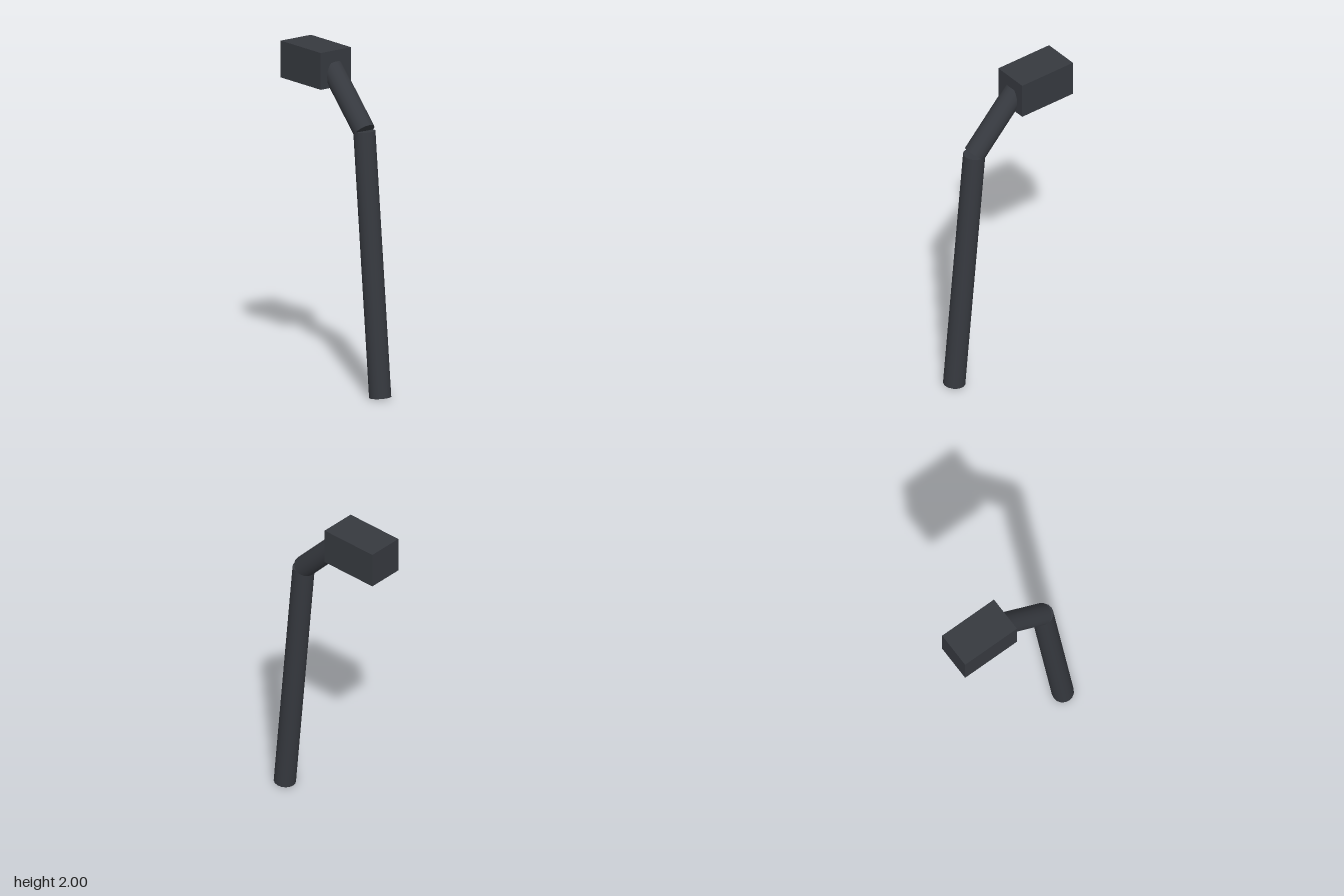
import * as THREE from 'three';

const material = new THREE.MeshStandardMaterial({ color: 0x36393f });
const RADIUS = 0.065;

// Closed round tube between two points in the x = 0 plane
function pole(name, from, to) {
  const direction = to.clone().sub(from);
  const mesh = new THREE.Mesh(
    new THREE.CylinderGeometry(RADIUS, RADIUS, direction.length(), 16), material);
  mesh.name = name;
  mesh.position.copy(from).add(to).multiplyScalar(0.5);
  mesh.quaternion.setFromUnitVectors(new THREE.Vector3(0, 1, 0), direction.normalize());
  return mesh;
}

export function createModel() {
  const model = new THREE.Group();
  model.name = 'lampPost';

  const foot = new THREE.Vector3(0, 0.006, 0.361);
  const joint = new THREE.Vector3(0, 1.569, 0.213);
  const armEnd = new THREE.Vector3(0, 1.89, -0.092);

  // Leaning post and the bent arm above it
  model.add(pole('post', foot, joint), pole('arm', joint, armEnd));

  // Box head at the end of the arm
  const head = new THREE.Mesh(new THREE.BoxGeometry(0.224, 0.22, 0.374), material);
  head.name = 'head';
  head.position.set(0, 1.89, -0.24);
  model.add(head);

  return model;
}
